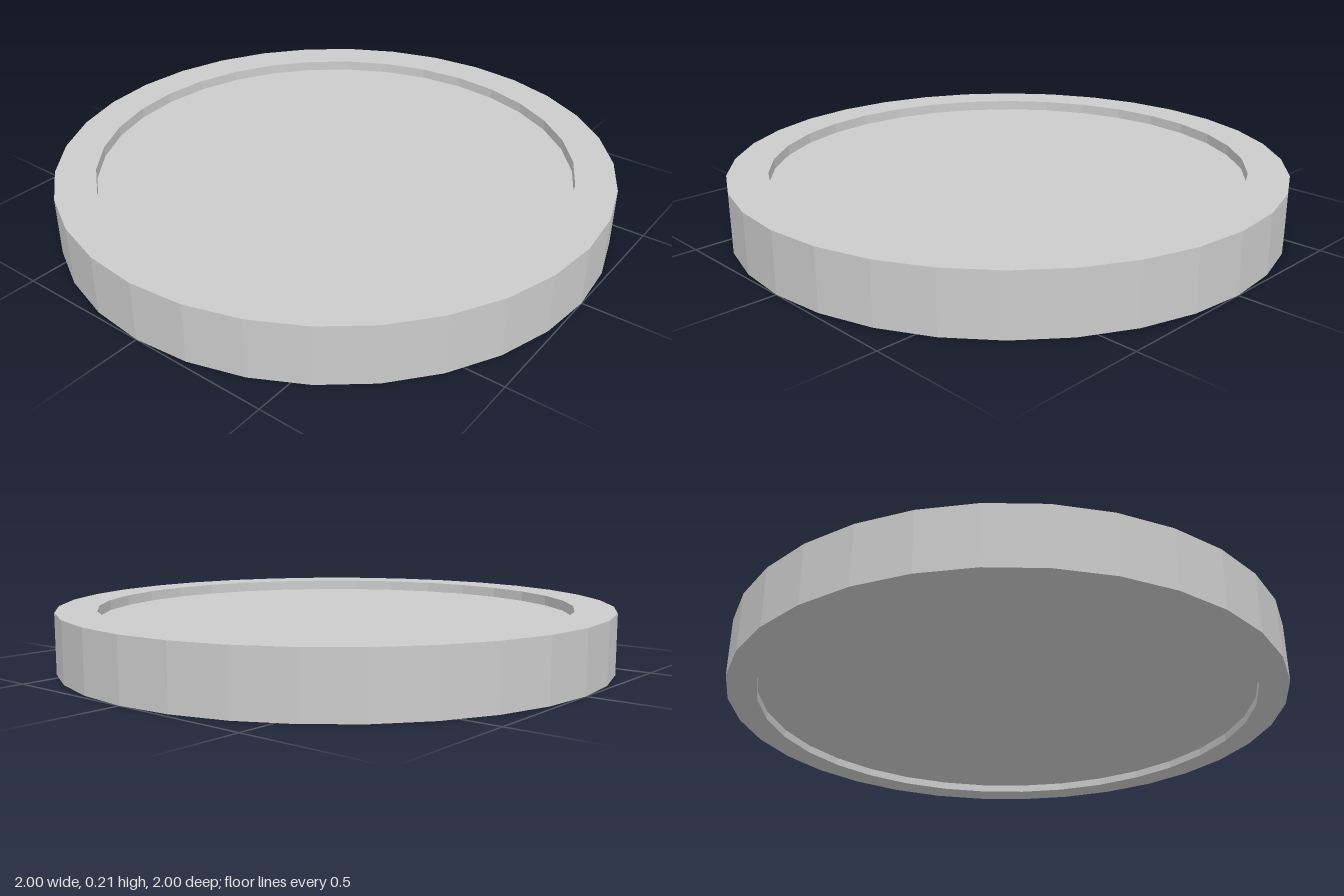
import * as THREE from 'three';

const SIDES = 32;
const HEIGHT = 0.213;
const TOP = { radius: 0.857, depth: 0.038 };
const BOTTOM = { radius: 0.897, depth: 0.029 };

export function createModel() {
  const group = new THREE.Group();
  const material = new THREE.MeshStandardMaterial({ color: 0xcccccc, flatShading: true });

  // Rim: lower recess wall, underside, outer wall, top face, upper recess wall
  const profile = [
    [BOTTOM.radius, BOTTOM.depth],
    [BOTTOM.radius, 0],
    [1, 0],
    [1, HEIGHT],
    [TOP.radius, HEIGHT],
    [TOP.radius, HEIGHT - TOP.depth],
  ].map(([r, y]) => new THREE.Vector2(r, y));
  const rim = new THREE.Mesh(new THREE.LatheGeometry(profile, SIDES), material);
  rim.name = 'rim';
  group.add(rim);

  // Flat floors of the two recesses
  const addFloor = (name, radius, y, facing) => {
    const floor = new THREE.Mesh(new THREE.CircleGeometry(radius, SIDES), material);
    floor.name = name;
    floor.rotation.x = -facing * Math.PI / 2;
    floor.position.y = y;
    group.add(floor);
  };
  addFloor('topFloor', TOP.radius, HEIGHT - TOP.depth, 1);
  addFloor('bottomFloor', BOTTOM.radius, BOTTOM.depth, -1);

  return group;
}
